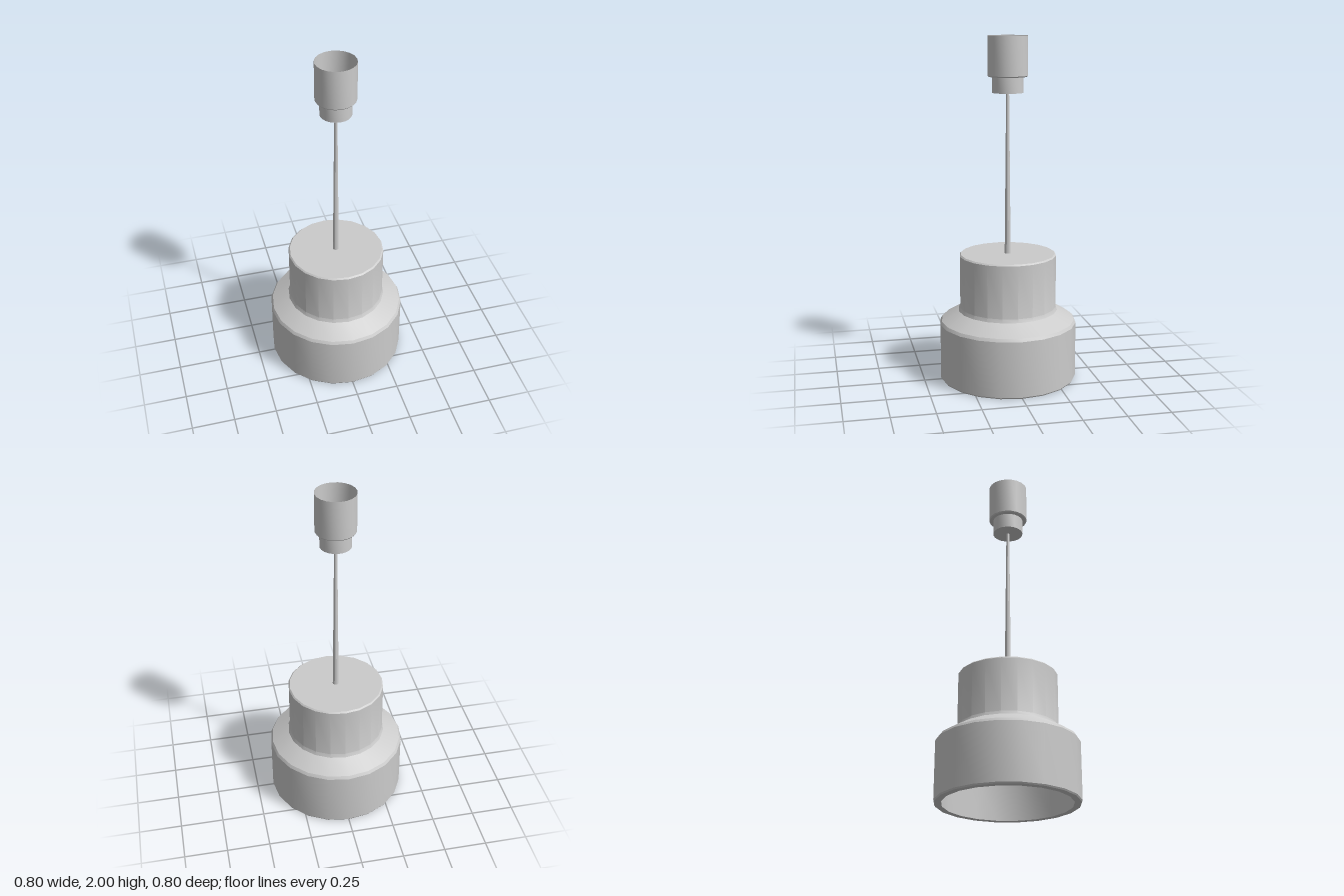
import * as THREE from 'three';
import { toCreasedNormals } from 'three/addons/utils/BufferGeometryUtils.js';

const SIDES = 20;

export function createModel() {
  const model = new THREE.Group();
  model.name = 'pendantLamp';
  const material = new THREE.MeshStandardMaterial({ color: 0xcccccc, side: THREE.DoubleSide });

  // Turns a [radius, height] profile around the vertical axis, keeping hard edges crisp
  const turned = (name, profile, sides = SIDES) => {
    const points = profile.map(([r, y]) => new THREE.Vector2(r, y));
    const geometry = toCreasedNormals(new THREE.LatheGeometry(points, sides), 0.5);
    const mesh = new THREE.Mesh(geometry, material);
    mesh.name = name;
    model.add(mesh);
  };

  // Shade: inner ceiling, inner wall, bottom rim, then the stepped outside up to the flat top
  turned('shade', [
    [0, 0.235], [0.33, 0.235], [0.36, 0.21], [0.36, 0],
    [0.397, 0], [0.402, 0.008], [0.402, 0.335], [0.392, 0.352],
    [0.292, 0.41], [0.283, 0.43], [0.283, 0.738], [0.275, 0.746], [0, 0.746],
  ]);

  // Cord: tapers from the shade up to the ceiling cup
  turned('cord', [[0.018, 0.74], [0.009, 1.68]], 12);

  // Ceiling cup: closed stepped bottom, open top
  turned('ceilingCup', [
    [0, 1.68], [0.089, 1.68], [0.089, 1.77],
    [0.11, 1.77], [0.115, 1.776], [0.115, 2],
  ]);

  return model;
}
